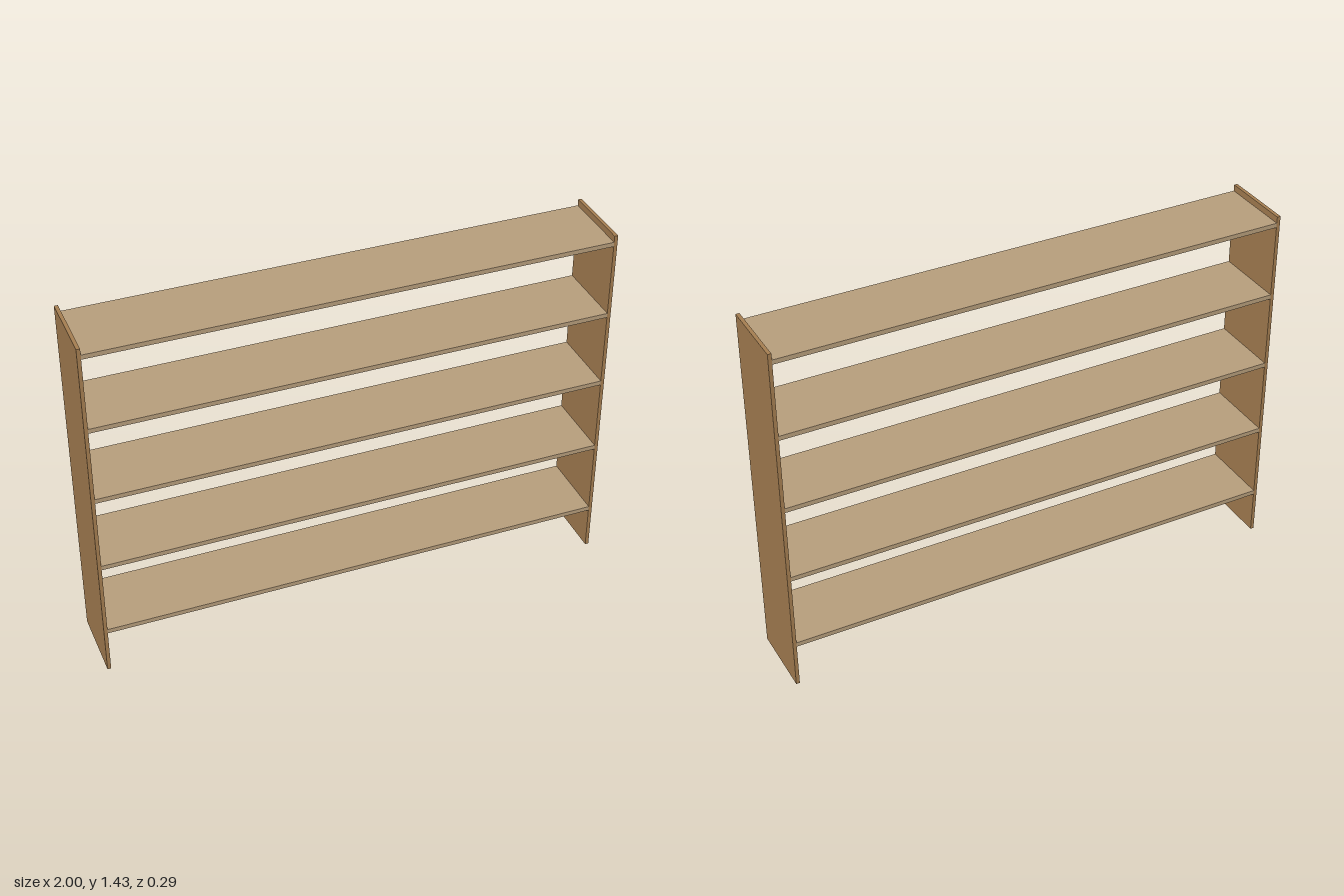
import * as THREE from 'three';

const HEIGHT = 1.43, DEPTH = 0.286, PANEL = 0.014, SHELF = 0.018;

export function createModel() {
  const group = new THREE.Group();
  group.name = 'shelfUnit';
  const panelWood = new THREE.MeshStandardMaterial({ color: 0xa67f52 });
  const shelfWood = new THREE.MeshStandardMaterial({ color: 0xb89f7d });

  const board = (name, w, h, x, y, material) => {
    const mesh = new THREE.Mesh(new THREE.BoxGeometry(w, h, DEPTH), material);
    mesh.name = name;
    mesh.position.set(x, y, 0);
    group.add(mesh);
  };

  // Upright side panels
  for (const [name, side] of [['leftPanel', 1], ['rightPanel', -1]]) {
    board(name, PANEL, HEIGHT, side * (1 - PANEL / 2), HEIGHT / 2, panelWood);
  }

  // Evenly spaced shelves between the panels
  for (let i = 0; i < 5; i++) {
    board(`shelf${i + 1}`, 2 - 2 * PANEL, SHELF, 0, 0.184 + i * 0.303, shelfWood);
  }

  return group;
}
